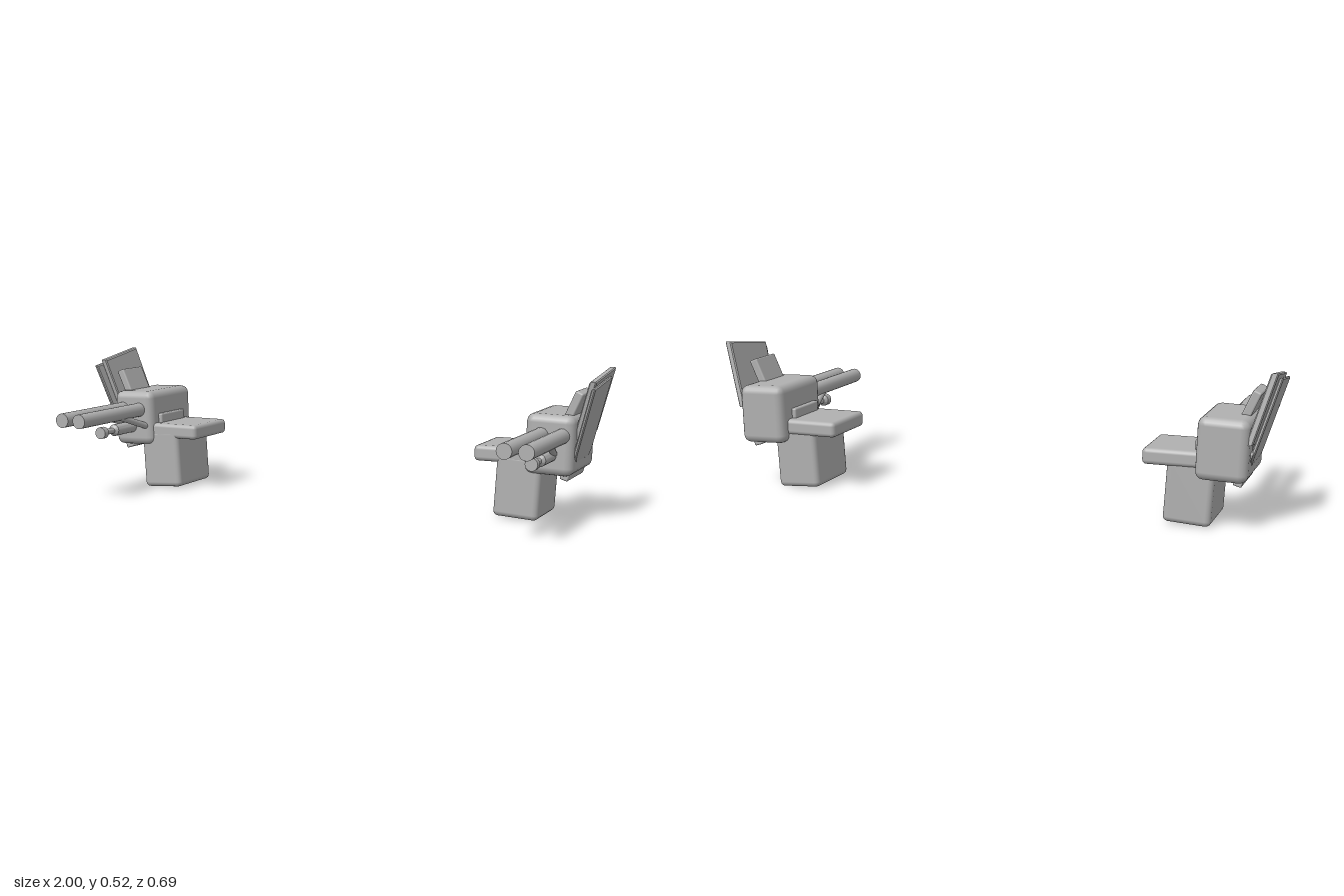
import * as THREE from 'three';
import { toCreasedNormals } from 'three/addons/utils/BufferGeometryUtils.js';
import { RoundedBoxGeometry } from 'three/addons/geometries/RoundedBoxGeometry.js';

const grey = new THREE.MeshStandardMaterial({ color: 0xb0b0b0 });
grey.name = 'grey metal';

// Mirrors a geometry across x and restores the winding
function mirrorX(geometry) {
  const g = geometry.index ? geometry.toNonIndexed() : geometry;
  g.scale(-1, 1, 1);
  for (const attribute of Object.values(g.attributes)) {
    const n = attribute.itemSize, a = attribute.array;
    for (let i = 0; i < a.length; i += 3 * n) {
      for (let k = 0; k < n; k++) {
        [a[i + n + k], a[i + 2 * n + k]] = [a[i + 2 * n + k], a[i + n + k]];
      }
    }
  }
  return g;
}

// Rounded box, rolled about z
function block(w, h, d, r, x, y, z, roll = 0) {
  return new RoundedBoxGeometry(w, h, d, 2, r).rotateZ(roll).translate(x, y, z);
}

// Cylinder between two points
function rod(a, b, radius) {
  const start = new THREE.Vector3(...a), end = new THREE.Vector3(...b);
  const dir = end.clone().sub(start);
  const g = new THREE.CylinderGeometry(radius, radius, dir.length(), 20);
  g.applyQuaternion(new THREE.Quaternion().setFromUnitVectors(new THREE.Vector3(0, 1, 0), dir.normalize()));
  const mid = start.add(end).multiplyScalar(0.5);
  return g.translate(mid.x, mid.y, mid.z);
}

// Plate from a (-z, y) outline, leaning outward toward its top
function leaningPlate(points, inset, thickness) {
  const shape = new THREE.Shape(points.map(([u, y]) => new THREE.Vector2(u, y)));
  const bevel = 0.004;
  const g = new THREE.ExtrudeGeometry(shape, {
    depth: thickness - 2 * bevel, bevelThickness: bevel, bevelSize: bevel, bevelOffset: -bevel, bevelSegments: 1,
  });
  g.rotateY(Math.PI / 2);
  const p = g.attributes.position;
  for (let i = 0; i < p.count; i++) {
    const lean = 0.998 - 0.3 * (0.49 - p.getY(i));
    p.setX(i, p.getX(i) + lean - inset - thickness + bevel);
  }
  g.computeVertexNormals();
  return toCreasedNormals(g, 0.5);
}

// Gun with flared muzzle, thin neck and thick sleeve
function lowerGun() {
  const profile = [[0, -0.06], [0.022, -0.06], [0.022, 0.073], [0.011, 0.083], [0.011, 0.127],
    [0.022, 0.139], [0.022, 0.164], [0, 0.164]].map(([r, z]) => new THREE.Vector2(r, z));
  const g = new THREE.LatheGeometry(profile, 20).rotateX(Math.PI / 2);
  return toCreasedNormals(g.translate(0.837, 0.235, 0), 0.5);
}

function turret(side) {
  const group = new THREE.Group();
  group.name = side > 0 ? 'leftTurret' : 'rightTurret';
  const add = (name, geometry) => {
    const mesh = new THREE.Mesh(side > 0 ? geometry : mirrorX(geometry), grey);
    mesh.name = name;
    group.add(mesh);
  };

  // Housing, base and inboard deck
  add('housing', block(0.17, 0.208, 0.295, 0.028, 0.83, 0.268, -0.197, -0.03));
  add('base', block(0.16, 0.22, 0.235, 0.018, 0.717, 0.113, -0.182, -0.06));
  add('deck', block(0.21, 0.055, 0.24, 0.015, 0.665, 0.223, -0.185));
  add('innerPanel', block(0.03, 0.04, 0.17, 0.006, 0.745, 0.265, -0.185));

  // Twin barrels with braces
  for (const x of [0.803, 0.876]) {
    add('barrel', rod([x, 0.302, -0.06], [x, 0.302, 0.347], 0.0265));
    add('brace', rod([x, 0.29, 0.09], [x - 0.03, 0.235, -0.07], 0.012));
  }
  add('lowerGun', lowerGun());

  // Two-layer outer shield
  add('outerShield', leaningPlate([[0.03, 0.468], [0.23, 0.495], [0.243, 0.41], [0.278, 0.235],
    [0.262, 0.207], [0.1, 0.207], [0.08, 0.23]], 0, 0.014));
  add('innerShield', leaningPlate([[0.065, 0.488], [0.297, 0.52], [0.33, 0.29], [0.268, 0.28],
    [0.25, 0.225], [0.11, 0.225]], 0.012, 0.024));

  // Brackets joining shield and housing
  add('upperBracket', block(0.03, 0.14, 0.135, 0.006, 0.892, 0.383, -0.168, -0.42));
  add('lowerBracket', block(0.03, 0.12, 0.205, 0.005, 0.891, 0.203, -0.193, -0.3));
  return group;
}

export function createModel() {
  const model = new THREE.Group();
  model.name = 'twinTurrets';
  model.add(turret(1), turret(-1));
  return model;
}
